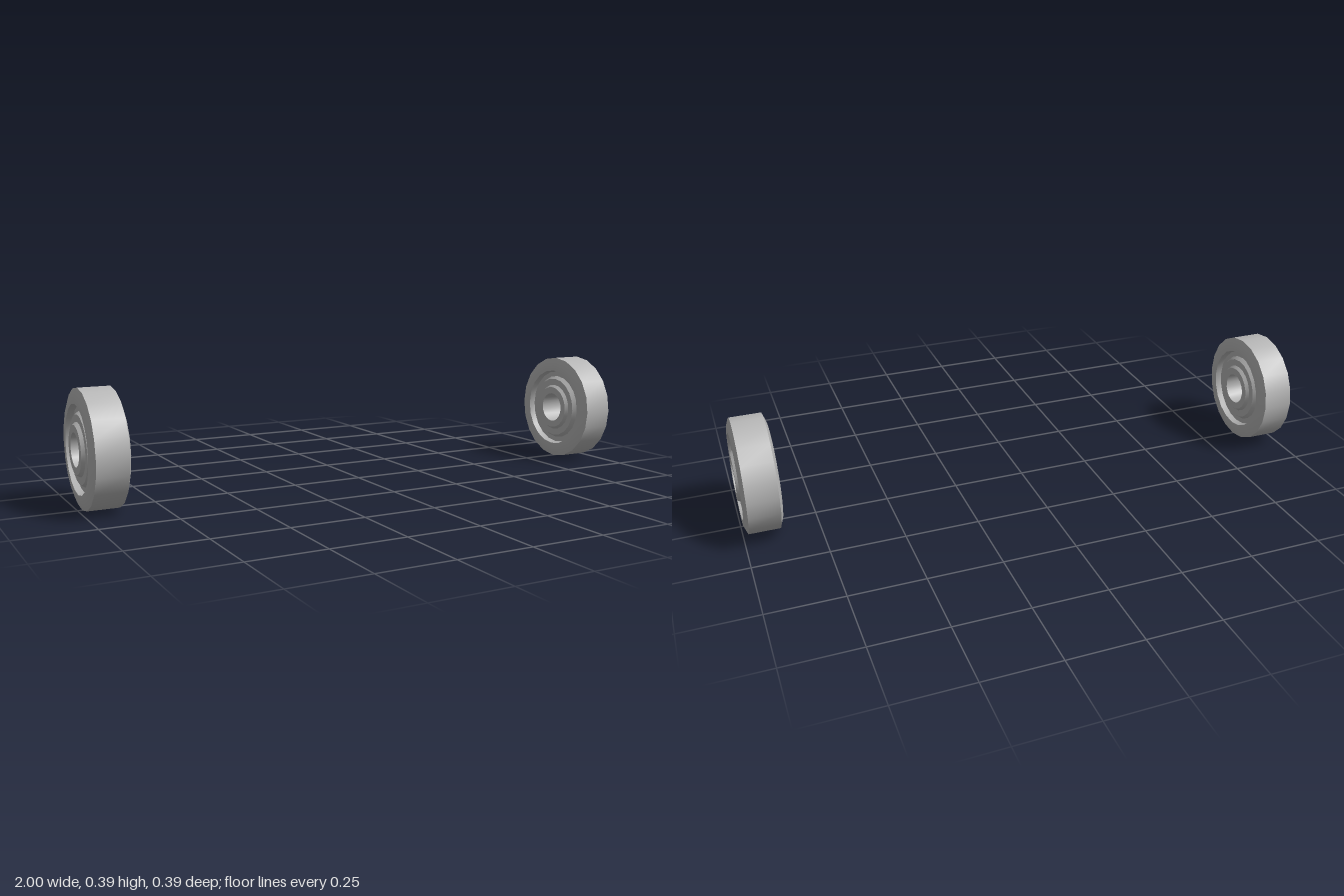
import * as THREE from 'three';
import { toCreasedNormals } from 'three/addons/utils/BufferGeometryUtils.js';

const SIDES = 20;
const WHEEL_Y = 0.195;
const WHEEL_X = 0.933;

// Revolves a chain of [radius, offset along axle] points around the x axis
function revolve(name, points, material) {
  const profile = points.map(([r, a]) => new THREE.Vector2(r, a));
  const geometry = new THREE.LatheGeometry(profile, SIDES);
  geometry.rotateZ(-Math.PI / 2);
  const mesh = new THREE.Mesh(toCreasedNormals(geometry, 0.5), material);
  mesh.name = name;
  return mesh;
}

// Mirrors the +x half of a profile so that both faces match
const inboard = (points) => points.map(([r, a]) => [r, -a]);
const bothFaces = (half) => [...inboard(half).reverse(), ...half];

function createWheel(name, material) {
  const wheel = new THREE.Group();
  wheel.name = name;

  // Tread, shallow shoulder and rim lip, down to the groove floor
  wheel.add(revolve('tyre', bothFaces([
    [0.1935, 0.052], [0.167, 0.062], [0.144, 0.062], [0.139, 0.042],
  ]), material));

  // Groove floor and raised web on each face
  const web = [[0.139, 0.042], [0.121, 0.042], [0.111, 0.056], [0.087, 0.056]];
  wheel.add(revolve('outerWeb', web, material));
  wheel.add(revolve('innerWeb', inboard(web).reverse(), material));

  // Hub boss with the axle bore through it
  const boss = [[0.087, 0.056], [0.079, 0.067], [0.0545, 0.067]];
  wheel.add(revolve('hub', [
    ...boss, ...inboard(boss).reverse(),
  ], material));

  return wheel;
}

export function createModel() {
  const model = new THREE.Group();
  model.name = 'wheelPair';
  const grey = new THREE.MeshStandardMaterial({ color: 0xb8b8b8 });
  grey.name = 'grey';

  for (const [name, side] of [['leftWheel', 1], ['rightWheel', -1]]) {
    const wheel = createWheel(name, grey);
    wheel.position.set(side * WHEEL_X, WHEEL_Y, 0);
    model.add(wheel);
  }
  return model;
}
